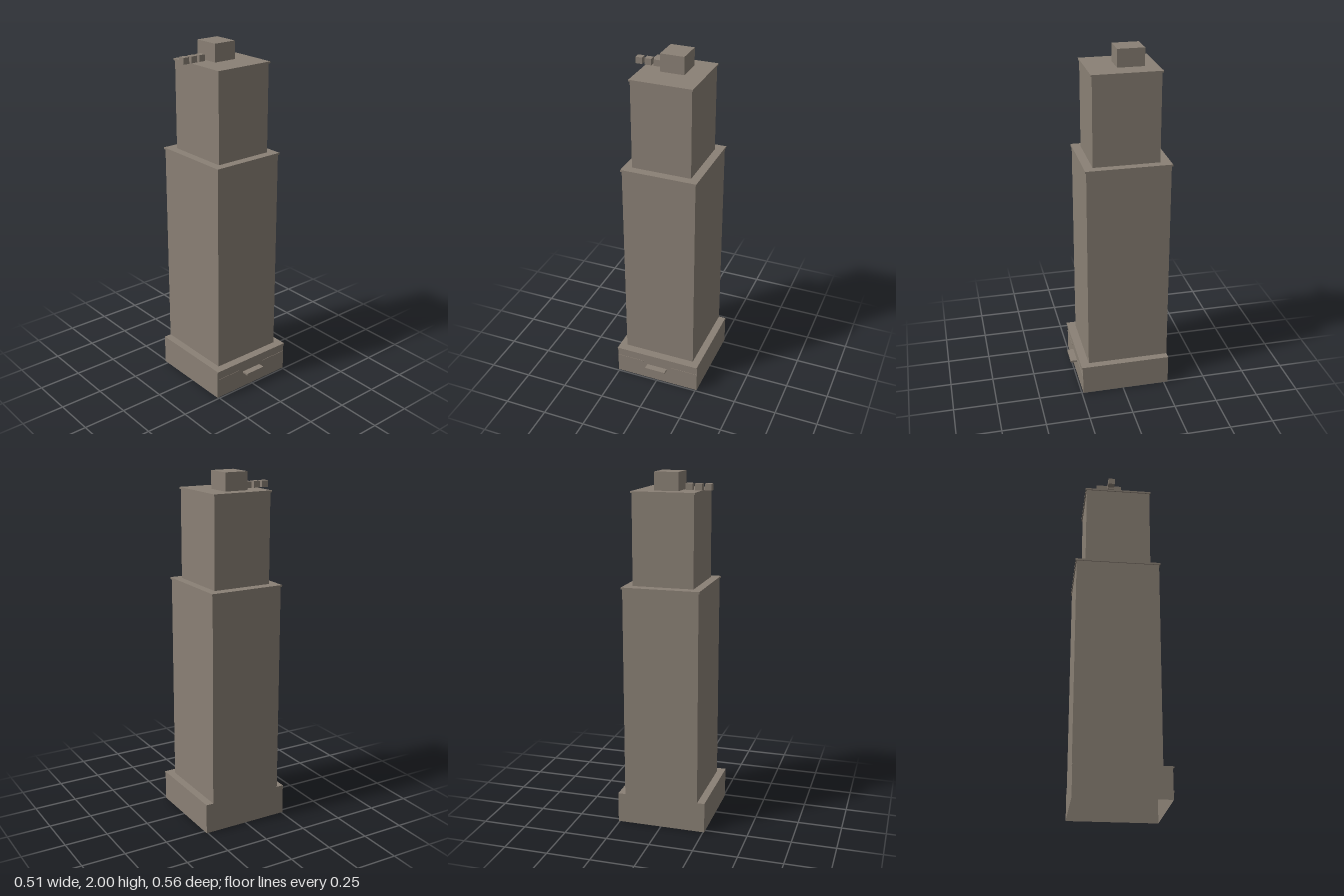
import * as THREE from 'three';

export function createModel() {
  const model = new THREE.Group();
  model.name = 'tower';
  const stone = new THREE.MeshStandardMaterial({ color: 0x8a8075, side: THREE.DoubleSide });
  stone.name = 'warm grey stone';

  // Box given by its limits on each axis
  const block = (name, x0, x1, y0, y1, z0, z1) => {
    const mesh = new THREE.Mesh(new THREE.BoxGeometry(x1 - x0, y1 - y0, z1 - z0), stone);
    mesh.position.set((x0 + x1) / 2, (y0 + y1) / 2, (z0 + z1) / 2);
    mesh.name = name;
    model.add(mesh);
  };

  // Thin upright sheet between two plan points, for the hollow podium
  const wall = (name, x0, z0, x1, z1, h) => {
    const mesh = new THREE.Mesh(new THREE.PlaneGeometry(Math.hypot(x1 - x0, z1 - z0), h), stone);
    mesh.position.set((x0 + x1) / 2, h / 2, (z0 + z1) / 2);
    mesh.rotation.y = -Math.atan2(z1 - z0, x1 - x0);
    mesh.name = name;
    model.add(mesh);
  };

  // Podium, open underneath
  const w = 0.257, back = -0.275, front = 0.241, top = 0.175;
  wall('podiumFront', -w, front, w, front, top);
  wall('podiumLeft', w, front, w, back, top);
  wall('podiumBack', w, back, -w, back, top);
  wall('podiumRight', -w, back, -w, front, top);
  block('podiumRoof', -w, w, 0.165, top, back, front);
  block('podiumCornice', -w, w, 0.167, top, front, 0.247);

  // Entrance canopy and the thin string courses beside it
  block('entranceCanopy', -0.063, 0.063, 0.09, 0.102, front, 0.279);
  for (const s of [-1, 1]) {
    const a = s * 0.09, b = s * 0.255;
    block('stringCourse', Math.min(a, b), Math.max(a, b), 0.116, 0.12, front, 0.243);
  }

  // Main shaft and stepped upper shaft, each with a parapet cap
  block('mainShaft', -0.214, 0.214, top, 1.38, back, 0.198);
  block('mainParapet', -0.22, 0.22, 1.378, 1.389, -0.281, 0.204);
  block('upperShaft', -0.172, 0.172, 1.389, 1.892, -0.222, 0.154);
  block('upperParapet', -0.178, 0.178, 1.89, 1.9, -0.229, 0.16);

  // Roof plant room and row of small units
  block('plantRoom', -0.069, 0.068, 1.9, 2, -0.155, -0.004);
  for (const x of [-0.216, -0.163, -0.11]) {
    block('roofUnit', x - 0.019, x + 0.019, 1.902, 1.938, -0.099, -0.061);
  }
  return model;
}
